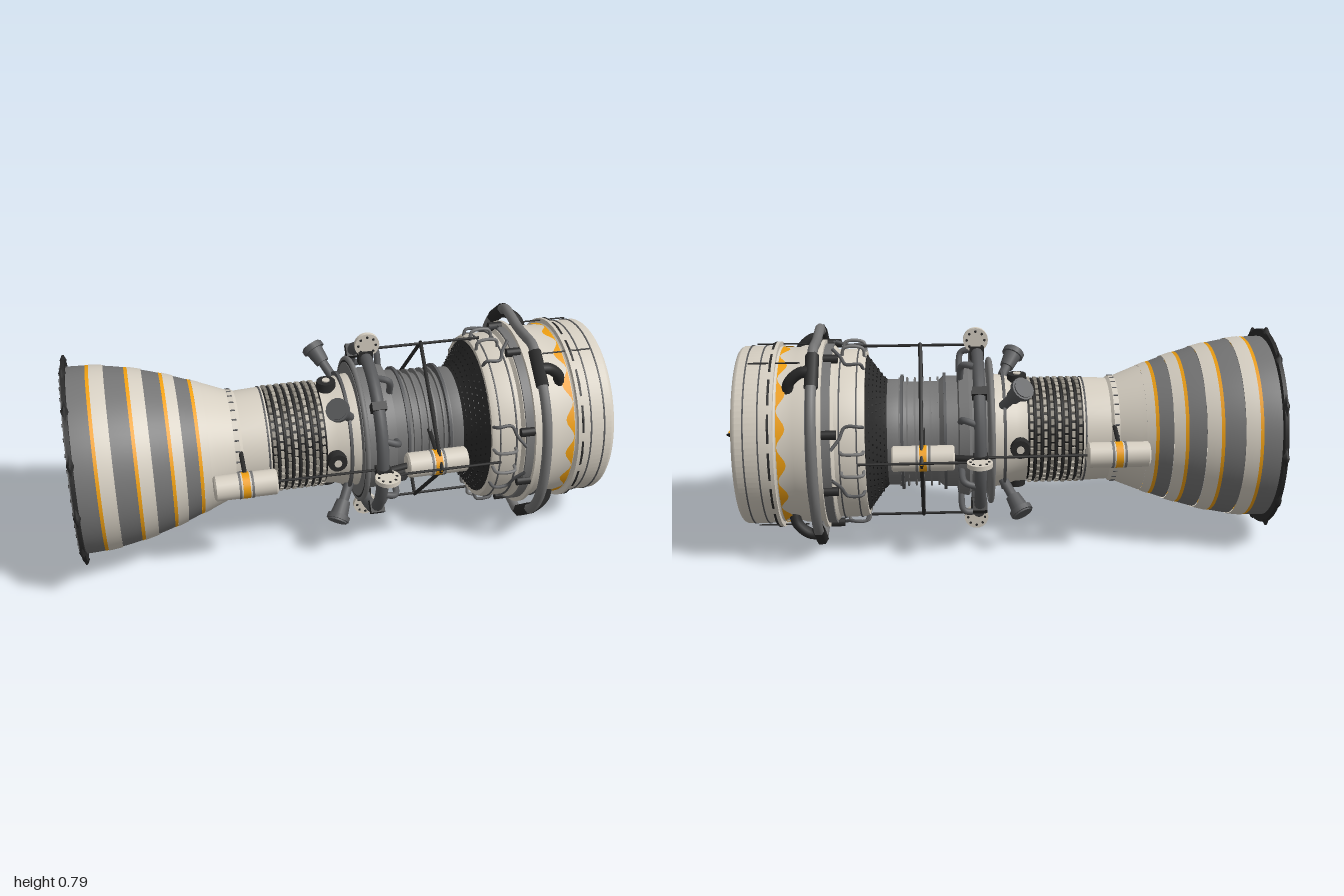
import * as THREE from 'three';
import { mergeGeometries, toCreasedNormals } from 'three/addons/utils/BufferGeometryUtils.js';

const BEIGE = 0xd6cfc2, GREY = 0x757575, MID = 0x58595b, DARK = 0x2a2a2a, BLACK = 0x141414, ORANGE = 0xf0a012;
const mats = {};
const mat = (c) => (mats[c] ??= new THREE.MeshStandardMaterial({ color: c, side: THREE.DoubleSide }));
const V = (x, y, z) => new THREE.Vector3(x, y, z);
const polar = (x, r, a) => V(x, r * Math.cos(a), r * Math.sin(a));

export function createModel() {
  const model = new THREE.Group();
  model.name = 'turbofanEngine';
  const engine = new THREE.Group();
  engine.name = 'engine';
  engine.position.y = 0.395;
  model.add(engine);

  const add = (name, color, geo) => {
    const m = new THREE.Mesh(geo, mat(color));
    m.name = name;
    engine.add(m);
    return m;
  };
  // turned part about the x axis from [x, radius] pairs
  const turn = (name, color, pts, seg = 64) => {
    const g = new THREE.LatheGeometry(pts.map(([x, r]) => new THREE.Vector2(r, x)), seg);
    return add(name, color, toCreasedNormals(g.rotateZ(-Math.PI / 2), 0.5));
  };
  // flat-sided ring with closed ends
  const band = (name, color, x0, x1, r, inner = r - 0.03) =>
    turn(name, color, [[x0, inner], [x0, r], [x1, r], [x1, inner]]);
  // copies of a geometry around the x axis
  const around = (geo, n, start = 0) => mergeGeometries(
    Array.from({ length: n }, (_, i) => geo.clone().rotateX(start + (i * 2 * Math.PI) / n)));
  const box = (w, h, d, x, y, z = 0) => new THREE.BoxGeometry(w, h, d).translate(x, y, z);
  const rod = (a, b, r = 0.005) => new THREE.TubeGeometry(new THREE.LineCurve3(a, b), 1, r, 6);
  const pipe = (pts, r, closed = false, n = 24) =>
    new THREE.TubeGeometry(new THREE.CatmullRomCurve3(pts, closed), n, r, 10, closed);
  const cylX = (r, len, x, y, z) => new THREE.CylinderGeometry(r, r, len, 20).rotateZ(Math.PI / 2).translate(x, y, z);

  // exhaust bell: striped outer skin
  const bellR = (x) => 0.19 + 0.145 * Math.sin((Math.PI / 2) * (-0.42 - x) / 0.56);
  const stripe = (name, color, x0, x1, lift = 0) => turn(name, color,
    Array.from({ length: 6 }, (_, i) => x0 + ((x1 - x0) * i) / 5).map((x) => [x, bellR(x) + lift]));
  [[-0.985, -0.85], [-0.85, -0.72], [-0.72, -0.61], [-0.61, -0.52]].forEach(([a, b]) => {
    const m = a + (b - a) * 0.54;
    stripe('bellGreyStripe', GREY, a, m);
    stripe('bellOrangeStripe', ORANGE, m, m + 0.012, 0.001);
    stripe('bellBeigeStripe', BEIGE, m + 0.012, b, 0.003);
  });
  stripe('bellThroat', BEIGE, -0.52, -0.42, 0.002);

  // exhaust bell: rim, liner and turbine outlet
  turn('bellRim', DARK, [[-0.978, 0.32], [-0.978, 0.362], [-0.992, 0.362], [-0.992, 0.345]]);
  turn('bellLip', GREY, [[-0.992, 0.346], [-0.997, 0.342], [-0.997, 0.318], [-0.98, 0.315]]);
  add('bellRimLugs', DARK, around(new THREE.CylinderGeometry(0.012, 0.045, 0.02, 4).scale(0.3, 1, 1).translate(-0.985, 0.367, 0), 12));
  add('bellLipBolts', DARK, around(cylX(0.006, 0.008, -0.996, 0.33, 0), 40));
  turn('bellLiner', GREY, [[-0.985, 0.315], [-0.94, 0.312], [-0.88, 0.3], [-0.85, 0.24], [-0.83, 0.1]]);
  add('outerOutletVanes', ORANGE, around(new THREE.BoxGeometry(0.05, 0.055, 0.009).rotateY(0.6).translate(-0.9, 0.278, 0), 60));
  add('innerOutletVanes', ORANGE, around(new THREE.BoxGeometry(0.05, 0.04, 0.006).rotateY(0.6).translate(-0.88, 0.165, 0), 44));
  band('outletRing', GREY, -0.9, -0.84, 0.24, 0.19);
  turn('outletHub', BLACK, [[-0.83, 0.135], [-0.89, 0.125], [-0.905, 0.112], [-0.9, 0.1], [-0.86, 0.095], [-0.85, 0]], 40);
  turn('outletHubRing', ORANGE, [[-0.88, 0.132], [-0.898, 0.127], [-0.906, 0.118]], 40);

  // rear casing
  turn('rearCasing', BEIGE, [[-0.45, 0.18], [-0.43, 0.196], [-0.41, 0.196], [-0.4, 0.188], [-0.32, 0.192], [-0.3, 0.192]]);
  add('rearFlangeBolts', MID, around(cylX(0.003, 0.016, -0.42, 0.196, 0), 32));
  band('rearSeam', MID, -0.312, -0.306, 0.195);

  // block-studded combustor
  turn('combustorCore', BLACK, [[-0.3, 0.17], [-0.3, 0.184], [-0.1, 0.184], [-0.1, 0.17]]);
  for (let i = 0; i < 8; i++) {
    add('combustorBlocks', i % 2 ? 0xb0aa9e : 0x8d887e,
      around(box(0.011, 0.014, 0.021, -0.288 + i * 0.025, 0.189), 40, (i % 2) * Math.PI / 40));
    if (i) add('combustorRib', DARK, new THREE.TorusGeometry(0.188, 0.005, 6, 64).rotateY(Math.PI / 2).translate(-0.3 + i * 0.025, 0, 0));
  }

  // middle casing with igniter cans and ports
  turn('middleCasing', BEIGE, [[-0.1, 0.17], [-0.1, 0.188], [-0.06, 0.19], [-0.02, 0.205], [0.03, 0.21]]);
  band('middleCasingFlange', MID, -0.022, -0.012, 0.22);
  const can = mergeGeometries([
    new THREE.CylinderGeometry(0.036, 0.026, 0.08, 16).translate(0, 0.085, 0),
    new THREE.CylinderGeometry(0.042, 0.042, 0.018, 16).translate(0, 0.11, 0),
    new THREE.CylinderGeometry(0.018, 0.018, 0.12, 12).translate(0, 0.03, 0)]).rotateZ(0.45).translate(-0.025, 0.225, 0);
  add('igniterCans', MID, around(can, 4, Math.PI / 4));
  add('sidePorts', DARK, around(new THREE.CylinderGeometry(0.034, 0.038, 0.035, 16).translate(-0.07, 0.2, 0), 4));
  add('sidePortCaps', BEIGE, around(new THREE.CylinderGeometry(0.014, 0.014, 0.04, 12).translate(-0.07, 0.202, 0), 4));

  // accessory ring, manifold loop and edge discs
  turn('accessoryRing', GREY, [[0.02, 0.18], [0.02, 0.25], [0.035, 0.25], [0.045, 0.225], [0.1, 0.225], [0.11, 0.24],
    [0.145, 0.235], [0.15, 0.2]]);
  band('accessoryRingFlange', DARK, 0.022, 0.03, 0.262);
  add('manifoldLoop', MID, new THREE.TorusGeometry(0.3, 0.022, 10, 64).rotateY(Math.PI / 2).translate(0.075, 0, 0));
  add('thinManifoldLoop', GREY, new THREE.TorusGeometry(0.262, 0.01, 8, 64).rotateY(Math.PI / 2).translate(0.03, 0, 0));
  add('manifoldFeeds', MID, around(pipe([V(0.075, 0.3, 0), V(0.13, 0.295, 0.02), V(0.14, 0.22, 0.02)], 0.012), 8, Math.PI / 8));
  add('manifoldClamps', DARK, around(box(0.052, 0.05, 0.03, 0.075, 0.3), 8, Math.PI / 4));
  add('edgeDiscs', BEIGE, around(new THREE.CylinderGeometry(0.045, 0.045, 0.016, 24).rotateX(Math.PI / 2).translate(0.08, 0.348, 0), 4));
  const studs = Array.from({ length: 8 }, (_, i) => new THREE.CylinderGeometry(0.005, 0.005, 0.02, 6).rotateX(Math.PI / 2)
    .translate(0.08 + 0.032 * Math.cos(i * Math.PI / 4), 0.348 + 0.032 * Math.sin(i * Math.PI / 4), 0));
  add('edgeDiscStuds', DARK, around(mergeGeometries(studs), 4));

  // compressor casing with ribs
  turn('compressorCasing', GREY, [[0.14, 0.205], [0.2, 0.205], [0.22, 0.185], [0.34, 0.185], [0.36, 0.195], [0.41, 0.195]]);
  for (let x = 0.16; x < 0.36; x += 0.028) band('compressorRib', GREY, x, x + 0.006, 0.201, 0.18);
  band('compressorFlange', MID, 0.19, 0.2, 0.216);
  band('compressorFlange', MID, 0.345, 0.355, 0.212);

  // perforated cone behind the fan cowl
  turn('rearCone', DARK, [[0.39, 0.185], [0.42, 0.21], [0.45, 0.252], [0.485, 0.3]]);
  for (let i = 0; i < 6; i++) add('rearConeStuds', BLACK,
    around(box(0.004, 0.004, 0.006, 0.412 + i * 0.0125, 0.202 + i * 0.0165), 56, (i % 2) * Math.PI / 56));

  // fan cowl, inlet and duct
  turn('fanCowl', BEIGE, [[0.475, 0.285], [0.475, 0.302], [0.49, 0.309], [0.58, 0.309], [0.59, 0.322], [0.7, 0.325], [0.72, 0.318],
    [0.78, 0.318], [0.79, 0.326], [0.915, 0.325], [0.924, 0.32], [0.93, 0.312], [0.93, 0.296]], 96);
  turn('inletWall', GREY, [[0.93, 0.296], [0.9, 0.289], [0.6, 0.289], [0.5, 0.275], [0.42, 0.18]], 96);
  [[0.5, 0.312], [0.56, 0.314], [0.672, 0.329], [0.835, 0.328], [0.885, 0.328]].forEach(([x, r]) => band('cowlSeam', MID, x, x + 0.005, r));
  band('cowlBand', GREY, 0.592, 0.622, 0.33);
  band('cowlFlange', BEIGE, 0.622, 0.634, 0.345);
  band('cowlFlange', BEIGE, 0.785, 0.797, 0.34);
  add('statorVanes', MID, around(new THREE.BoxGeometry(0.06, 0.17, 0.005).rotateY(-0.4).translate(0.66, 0.2, 0), 36));

  // wavy orange stripe on the cowl
  const wave = new THREE.CylinderGeometry(0.3225, 0.3225, 1, 128, 1, true);
  const wp = wave.attributes.position;
  for (let i = 0; i < wp.count; i++) {
    const a = Math.atan2(wp.getZ(i), wp.getX(i));
    wp.setY(i, wp.getY(i) > 0 ? 0.776 : 0.76 - 0.015 * Math.cos(a * 16));
  }
  add('cowlWaveStripe', ORANGE, wave.rotateZ(-Math.PI / 2));

  // triangular brackets on the front flange
  const tri = new THREE.Shape([[-0.05, 0.002], [0, 0.008], [0.05, 0.002], [0.02, -0.003], [0, -0.015], [-0.02, -0.003]]
    .map(([x, y]) => new THREE.Vector2(x, y)));
  const bracket = new THREE.ExtrudeGeometry(tri, { depth: 0.008, bevelEnabled: false }).rotateY(Math.PI / 2).translate(0.797, 0.334, 0);
  add('flangeBrackets', DARK, around(bracket, 16));
  add('flangeBracketBolts', BEIGE, around(cylX(0.004, 0.006, 0.805, 0.334, 0), 16));

  // cowl handles and valves
  const handle = pipe([V(0.48, 0.3, 0), V(0.485, 0.336, 0), V(0.55, 0.338, 0), V(0.56, 0.3, 0)], 0.006);
  add('cowlHandles', GREY, mergeGeometries([-0.12, 0.12].map((a) => around(handle, 4, a))));
  for (const a of [0.4, -0.4]) {
    add('cowlValves', DARK, around(cylX(0.016, 0.05, 0.595, 0.33, 0), 4, a * 0.8));
    add('cowlValveLines', MID, around(pipe([V(0.48, 0.3, 0), V(0.49, 0.325, 0), V(0.54, 0.325, 0), V(0.56, 0.325, -0.1 * a),
      V(0.59, 0.33, -0.2 * a)], 0.006), 4, a));
  }

  // outer bleed pipe, mirrored from one quarter
  const q = [[0.377, 0], [0.36, 0.13], [0.305, 0.235], [0.225, 0.308], [0.15, 0.359], [0.09, 0.358], [0, 0.352]];
  const half = [...q, ...q.slice(0, -1).reverse().map(([z, y]) => [-z, y])];
  const full = [...half, ...half.slice(1, -1).reverse().map(([z, y]) => [z, -y])];
  add('bleedPipe', GREY, pipe(full.map(([z, y]) => V(0.65, y, z)), 0.018, true, 128));
  for (const sy of [1, -1]) for (const sz of [1, -1]) {
    add('bleedSleeve', DARK, rod(V(0.65, sy * 0.262, sz * 0.277), V(0.65, sy * 0.348, sz * 0.172), 0.024));
    add('bleedElbow', DARK, pipe([V(0.65, sy * 0.305, sz * 0.225), V(0.69, sy * 0.3, sz * 0.222),
      V(0.73, sy * 0.265, sz * 0.215), V(0.74, sy * 0.225, sz * 0.205)], 0.02));
  }

  // fan blades: swept, twisted sheets
  const blade = (u0, u1, v0, v1, lift) => {
    const g = new THREE.PlaneGeometry(1, 1, 4, 8), p = g.attributes.position;
    for (let i = 0; i < p.count; i++) {
      const u = u0 + (u1 - u0) * (p.getX(i) + 0.5), v = v0 + (v1 - v0) * (p.getY(i) + 0.5);
      const at = polar(0.86 - 0.09 * u - 0.01 * v + lift, 0.066 + 0.221 * v, (0.24 + 0.16 * v) * u - 0.32 * v * v);
      p.setXYZ(i, at.x, at.y, at.z);
    }
    g.computeVertexNormals();
    return around(g, 18);
  };
  add('fanBlades', GREY, blade(0, 1, 0, 0.87, 0));
  add('fanBladeTips', ORANGE, blade(0, 1, 0.87, 1, 0));
  add('fanBladeInlays', BEIGE, mergeGeometries([blade(0.1, 0.55, 0.3, 0.43, 0.003), blade(0.1, 0.2, 0.43, 0.66, 0.003)]));
  add('fanBladeShadowInlays', MID, blade(0.22, 0.36, 0.43, 0.78, 0.003));
  turn('fanHub', GREY, [[0.6, 0.125], [0.81, 0.115], [0.85, 0.085], [0.862, 0.066]], 40);

  // spinner with spiral
  const spinX = (r) => 0.86 + 0.14 * Math.pow(Math.max(0, 1 - r / 0.068), 0.8);
  turn('spinner', BLACK, Array.from({ length: 13 }, (_, i) => 0.068 * (1 - i / 12)).map((r) => [spinX(r), r]), 40);
  add('spinnerSpiral', ORANGE, pipe(Array.from({ length: 28 }, (_, i) => {
    const r = 0.044 - 0.038 * (i / 27);
    return polar(spinX(r) - 0.005, r, Math.PI / 2 - i * 0.31);
  }), 0.0085, false, 80));

  // side canisters with straps and brackets
  for (const s of [1, -1]) {
    for (const x of [-0.41, 0.275]) {
      turn('canister', BEIGE, [[-0.11, 0], [-0.11, 0.038], [-0.104, 0.045], [0.104, 0.045], [0.11, 0.038], [0.11, 0]], 24).position.set(x, 0, s * 0.28);
      add('canisterStripe', ORANGE, cylX(0.0465, 0.025, x, 0, s * 0.28));
      for (const d of [-0.022, 0.022]) add('canisterStrap', GREY, cylX(0.047, 0.008, x + d, 0, s * 0.28));
      for (const y of [0.05, -0.05]) add('canisterBracket', DARK, rod(V(x, y * 1.4, s * 0.17), V(x, y * 0.8, s * 0.27), 0.008));
    }
    add('canisterLine', DARK, rod(V(-0.3, 0, s * 0.28), V(0.06, 0, s * 0.285)));
    add('canisterLine', DARK, rod(V(0.08, 0, s * 0.3), V(0.17, 0, s * 0.28), 0.012));
  }

  // strut frame around the compressor
  add('frameRails', DARK, around(rod(V(0.1, 0.33, 0), V(0.5, 0.33, 0)), 4));
  add('frameDiamond', DARK, around(rod(V(0.28, 0.335, 0), V(0.28, 0, 0.335), 0.007), 4));
  for (const a of [0.39, -0.39]) add('cowlRails', DARK, around(rod(V(0.7, 0.333, 0), V(0.88, 0.333, 0), 0.003), 2, a));

  return model;
}
